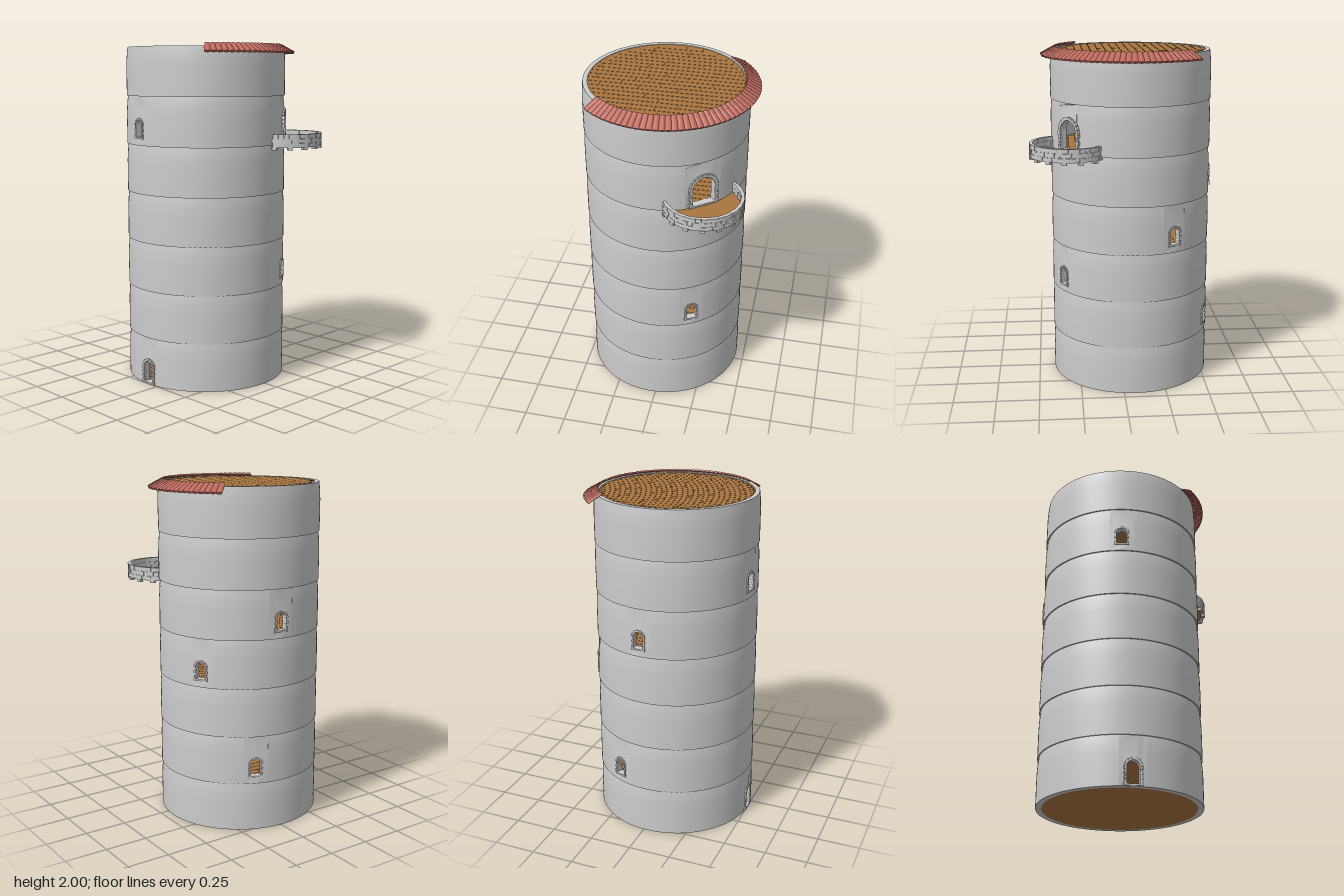
import * as THREE from 'three';
import { mergeGeometries, toCreasedNormals } from 'three/addons/utils/BufferGeometryUtils.js';

const DEG = Math.PI / 180;
const R_IN = 0.44, R_OUT = 0.475, STOREY = 0.283;
const CX = -0.07, CZ = 0.025;

const stone = new THREE.MeshStandardMaterial({ color: 0xcccccc });
const wood = new THREE.MeshStandardMaterial({ color: 0xa87640 });
const clay = new THREE.MeshStandardMaterial({ color: 0xbf6a5e });

// Outer wall profile: upright, easing slightly inward near the top of a storey
const EASE = [[0, R_OUT], [0.18, R_OUT], [0.225, 0.473], [0.26, 0.47], [STOREY, 0.467]];
function outerRadius(v) {
  for (let i = 1; i < EASE.length; i++) {
    const [v0, r0] = EASE[i - 1], [v1, r1] = EASE[i];
    if (v <= v1) return r0 + (r1 - r0) * (v - v0) / (v1 - v0);
  }
  return EASE[EASE.length - 1][1];
}

function add(parent, name, geometry, material) {
  const mesh = new THREE.Mesh(geometry, material);
  mesh.name = name;
  parent.add(mesh);
  return mesh;
}

// Angles run from +x towards -z; after rotation.y = angle, local +x points outward
function facing(parent, name, angle) {
  const g = new THREE.Group();
  g.name = name;
  g.rotation.y = angle;
  parent.add(g);
  return g;
}

// Wall ring, with an optional gap of given half angle left for an opening panel
function wallRing(angle, halfGap) {
  const pts = [[R_IN, STOREY], [R_IN, 0]].map(p => new THREE.Vector2(...p));
  EASE.forEach(([v, r]) => pts.push(new THREE.Vector2(r, v)));
  pts.push(new THREE.Vector2(R_IN, STOREY));
  const g = new THREE.LatheGeometry(pts, 96, angle + Math.PI / 2 + halfGap, 2 * Math.PI - 2 * halfGap);
  return toCreasedNormals(g, 0.5);
}

// Curved wall piece with an arched hole, bent from a flat extrusion
function openingPanel(halfGap, o) {
  const w = halfGap * R_OUT, n = 14, shape = new THREE.Shape();
  const pts = [];
  for (let i = 0; i <= n; i++) pts.push([-w + 2 * w * i / n, 0]);
  EASE.slice(1, -1).forEach(([v]) => pts.push([w, v]));
  for (let i = n; i >= 0; i--) pts.push([-w + 2 * w * i / n, STOREY]);
  EASE.slice(1, -1).reverse().forEach(([v]) => pts.push([-w, v]));
  shape.setFromPoints(pts.map(p => new THREE.Vector2(...p)));
  const hole = new THREE.Path();
  hole.moveTo(-o.half, o.base);
  hole.lineTo(-o.half, o.spring);
  hole.absarc(0, o.spring, o.half, Math.PI, 0, true);
  hole.lineTo(o.half, o.base);
  hole.closePath();
  shape.holes.push(hole);
  const g = new THREE.ExtrudeGeometry(shape, { depth: 1, bevelEnabled: false, curveSegments: 12 });
  const p = g.attributes.position;
  for (let i = 0; i < p.count; i++) {
    const v = p.getY(i), a = p.getX(i) / R_OUT;
    const r = R_IN + (outerRadius(v) - R_IN) * p.getZ(i);
    p.setXYZ(i, r * Math.cos(a), v, -r * Math.sin(a));
  }
  return toCreasedNormals(g, 0.5);
}

// Jamb stones and wedge stones round an arched opening
function surround(o) {
  const parts = [], rows = o.rows, f = o.frame, h = (o.spring - o.base) / rows;
  const depth = 0.042, mid = R_OUT - 0.016;
  for (const side of [-1, 1]) {
    for (let i = 0; i < rows; i++) {
      const wide = f * (i % 2 ? 0.8 : 1.15);
      const b = new THREE.BoxGeometry(depth - (i % 2) * 0.003, h * 0.94, wide);
      parts.push(b.translate(mid, o.base + h * (i + 0.5), side * (o.half + wide / 2 - 0.002)));
    }
  }
  const n = o.wedges, r = o.half + f / 2;
  for (let i = 0; i < n; i++) {
    const b = new THREE.BoxGeometry(depth, f, Math.PI * r / n * 0.97);
    b.translate(0, r, 0).rotateX(-Math.PI / 2 + Math.PI * (i + 0.5) / n);
    parts.push(b.translate(mid, o.spring, 0));
  }
  const sill = new THREE.BoxGeometry(depth, 0.01, 2 * (o.half + f));
  parts.push(sill.translate(mid, o.base - 0.005, 0));
  return mergeGeometries(parts);
}

// Round floor covered with staggered planks running front to back
function plankFloor() {
  const parts = [new THREE.CylinderGeometry(R_IN + 0.002, R_IN + 0.002, 0.01, 96).translate(0, 0.005, 0)];
  const step = 0.044;
  for (let i = -9; i <= 9; i++) {
    const x = i * step, edge = Math.abs(x) + step / 2;
    if (edge > R_IN) continue;
    const half = Math.sqrt(R_IN * R_IN - edge * edge);
    let z = -half, len = 0.1 + 0.06 * ((i + 9) % 3);
    while (z < half - 0.01) {
      const end = Math.min(z + len, half);
      const b = new THREE.BoxGeometry(step - 0.003, 0.003, end - z - 0.003);
      parts.push(b.translate(x, 0.0105, (z + end) / 2));
      z = end;
      len = 0.22;
    }
  }
  return mergeGeometries(parts);
}

// Semicircular balcony, centred on the outer wall
function buildBalcony(parent, angle) {
  const g = facing(parent, 'balcony', angle);
  const r = 0.228, reach = 103 * DEG, y = 1.402;
  const deck = new THREE.CylinderGeometry(r - 0.006, r - 0.006, 0.014, 48, 1, false, Math.PI / 2 - reach, 2 * reach);
  add(g, 'balconyFloor', deck.translate(0.467, y + 0.007, 0), wood);
  const blocks = [];
  const place = (a, y0, height, thick, width) => {
    const b = new THREE.BoxGeometry(thick, height, width);
    blocks.push(b.translate(r - 0.009, y0 + height / 2, 0).rotateY(a).translate(0.467, 0, 0));
  };
  const n = 26, step = 2 * reach / n;
  for (let row = 0; row < 3; row++) {
    for (let i = 0; i < n; i++) {
      const a = -reach + step * (i + (row % 2 ? 0.25 : 0.75));
      place(a, y + row * 0.026, 0.025, 0.018 + 0.003 * ((i + row) % 2), r * step * 0.97);
    }
  }
  // Low supporting stones under the rim
  for (let i = 0; i < n; i += 3) place(-reach + step * (i + 0.5), y - 0.014, 0.016, 0.024, r * step * 0.9);
  add(g, 'balconyParapet', mergeGeometries(blocks), stone);
}

// Half ring of overlapping clay tiles, in two rows
function buildRoof(parent) {
  const g = new THREE.Group();
  g.name = 'tileRoof';
  parent.add(g);
  const start = -45 * DEG, sweep = Math.PI, n = 48, slope = 30 * DEG;
  const tiles = [];
  for (const [r, y, len] of [[0.467, 1.982, 0.05], [0.503, 1.962, 0.056]]) {
    const w = r * sweep / n / 2;
    for (let i = 0; i < n; i++) {
      const t = new THREE.CylinderGeometry(w * 0.98, w * 1.12, len, 8).scale(0.4, 1, 1);
      t.rotateZ(Math.PI / 2 - slope).translate(r, y, 0);
      tiles.push(t.rotateY(start + sweep * (i + 0.5) / n));
    }
  }
  add(g, 'tiles', toCreasedNormals(mergeGeometries(tiles), 0.9), clay);
  const bed = [[0.445, 1.99], [0.52, 1.948]].map(p => new THREE.Vector2(...p));
  const bedMat = clay.clone();
  bedMat.side = THREE.DoubleSide;
  add(g, 'tileBed', new THREE.LatheGeometry(bed, 64, start + Math.PI / 2, sweep), bedMat);
}

export function createModel() {
  const model = new THREE.Group();
  model.name = 'roundTower';
  const tower = new THREE.Group();
  tower.name = 'tower';
  tower.position.set(CX, 0, CZ);
  model.add(tower);

  const windowShape = { half: 0.032, base: 0.048, spring: 0.115, frame: 0.011, rows: 4, wedges: 7 };
  const doorShape = { half: 0.036, base: 0.012, spring: 0.105, frame: 0.015, rows: 7, wedges: 7 };
  const archShape = { half: 0.07, base: 0.016, spring: 0.117, frame: 0.02, rows: 5, wedges: 11 };
  const balconyAngle = 37.5 * DEG;

  // One opening per storey, winding round the tower
  const openings = [
    [['door', 270, doorShape]],
    [['window', 157, windowShape]],
    [['window', 30, windowShape]],
    [['window', 118, windowShape]],
    [['window', 175, windowShape]],
    [['window', 262, windowShape], ['balconyDoor', 37.5, archShape]],
    [],
  ];
  const floor = plankFloor();
  openings.forEach((list, i) => {
    const storey = new THREE.Group();
    storey.name = 'storey' + (i + 1);
    storey.position.y = i * STOREY;
    tower.add(storey);
    add(storey, 'floor', floor, wood);
    const gaps = list.map(([name, deg, o]) => ({ name, a: deg * DEG, o, half: (o.half + 0.04) / R_OUT }));
    if (gaps.length < 2) {
      const gap = gaps[0] || { a: 0, half: 0 };
      add(storey, 'wall', wallRing(gap.a, gap.half), stone);
    } else {
      // Two openings split the ring into two arcs
      gaps.forEach((from, k) => {
        const to = gaps[1 - k];
        const s = from.a + from.half;
        let e = to.a - to.half;
        while (e < s) e += 2 * Math.PI;
        add(storey, 'wall', wallRing((s + e) / 2 + Math.PI, Math.PI - (e - s) / 2), stone);
      });
    }
    gaps.forEach(({ name, a, o, half }) => {
      const g = facing(storey, name, a);
      add(g, name + 'Wall', openingPanel(half, o), stone);
      add(g, name + 'Surround', surround(o), stone);
    });
  });
  add(tower, 'topFloor', floor, wood).position.y = 7 * STOREY - 0.014;

  buildBalcony(tower, balconyAngle);
  buildRoof(tower);
  return model;
}
